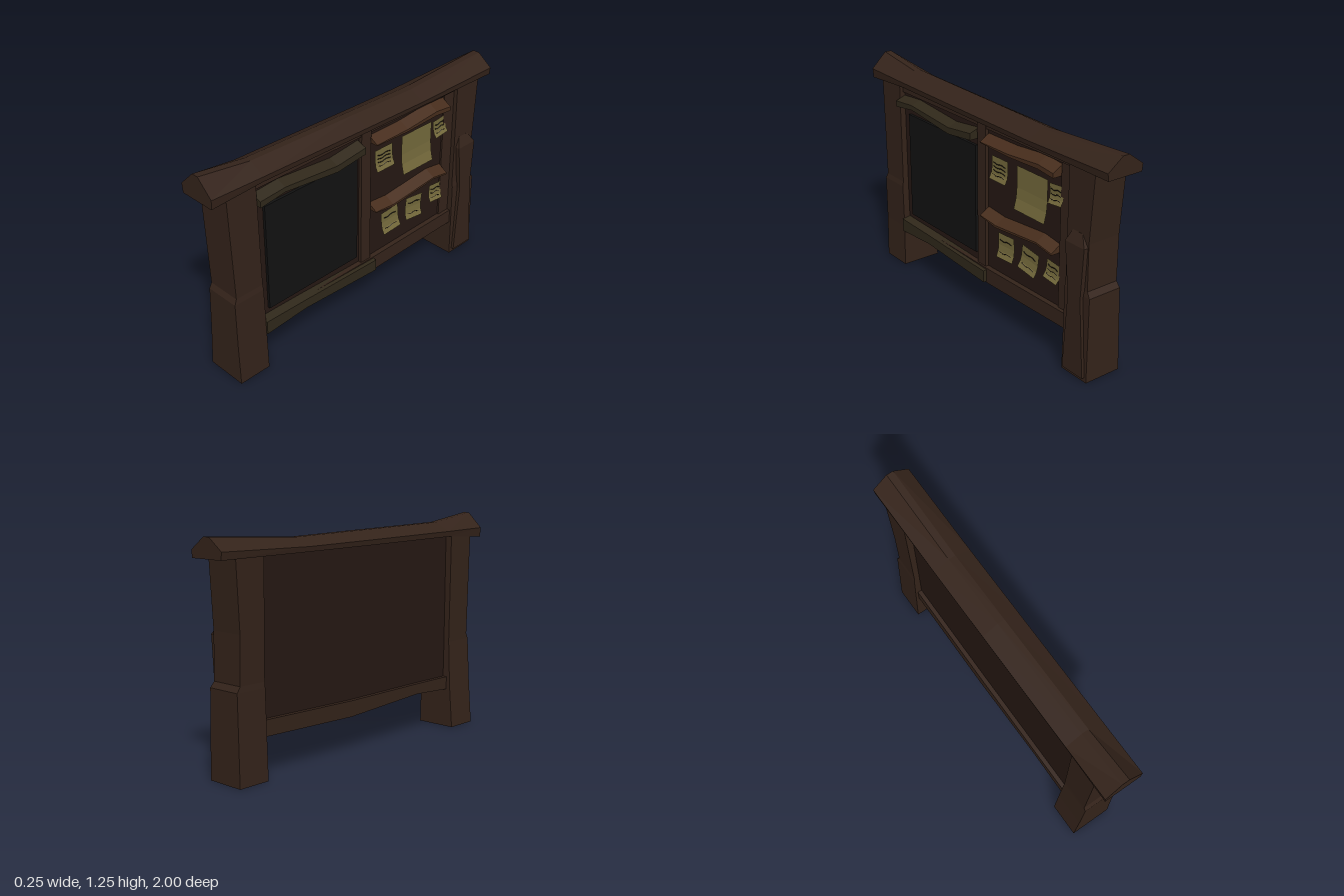
import * as THREE from 'three';

const mat = (color) => new THREE.MeshStandardMaterial({ color, flatShading: true, side: THREE.DoubleSide, roughness: 0.9 });
const WOOD = mat(0x34231a), DARK = mat(0x261813), TRIM = mat(0x472d1c), MOSS = mat(0x30281a);
const SLATE = mat(0x121212), PAPER = mat(0x756a3c), INK = mat(0x1a140c);

// Closed solid through equal-sized convex cross-sections, capped at both ends
function loft(sections) {
  const n = sections[0].length, tris = [];
  for (let s = 0; s < sections.length - 1; s++) {
    for (let i = 0; i < n; i++) {
      const j = (i + 1) % n, a = sections[s], b = sections[s + 1];
      tris.push([a[i], a[j], b[j]], [a[i], b[j], b[i]]);
    }
  }
  const first = sections[0], last = sections[sections.length - 1];
  for (let i = 1; i < n - 1; i++) {
    tris.push([first[0], first[i + 1], first[i]], [last[0], last[i], last[i + 1]]);
  }
  // Turn all faces outward if the sections ran the other way
  const v = (p) => new THREE.Vector3(...p);
  const volume = tris.reduce((sum, [a, b, c]) => sum + v(a).dot(v(b).cross(v(c))), 0);
  if (volume < 0) tris.forEach((t) => t.reverse());
  const g = new THREE.BufferGeometry();
  g.setAttribute('position', new THREE.Float32BufferAttribute(tris.flat(2), 3));
  g.computeVertexNormals();
  return g;
}

export function createModel() {
  const model = new THREE.Group();
  const add = (name, geometry, material, parent = model) => {
    const m = new THREE.Mesh(geometry, material);
    m.name = name;
    parent.add(m);
    return m;
  };
  const box = (name, x0, x1, y0, y1, z0, z1, material) => {
    const m = add(name, new THREE.BoxGeometry(x1 - x0, y1 - y0, Math.abs(z1 - z0)), material);
    m.position.set((x0 + x1) / 2, (y0 + y1) / 2, (z0 + z1) / 2);
  };

  // Upright solid from rows of [y, x0, x1, z0, z1]
  const upright = (name, rows, material) => add(name, loft(rows.map(([y, x0, x1, z0, z1]) =>
    [[x0, y, z0], [x1, y, z0], [x1, y, z1], [x0, y, z1]])), material);

  // Uneven beam from stations of [z, bottom, top], with a sloping upper front edge
  const beam = (name, x0, x1, slope, stations, material) => add(name, loft(stations.map(([z, b, t]) =>
    [[x0, b, z], [x1, b, z], [x1, t - slope, z], [x0, t, z]])), material);

  // Posts
  upright('leftPost', [
    [0, -0.13, 0.11, 0.72, 0.91],
    [0.25, -0.11, 0.105, 0.72, 0.91],
    [0.51, -0.095, 0.105, 0.725, 0.91],
    [0.54, -0.095, 0.1, 0.725, 0.895],
    [1.15, -0.1, 0.098, 0.73, 0.91],
  ], WOOD);
  upright('rightPost', [
    [0, -0.11, 0.11, -0.915, -0.73],
    [0.47, -0.095, 0.105, -0.91, -0.73],
    [0.5, -0.092, 0.1, -0.888, -0.73],
    [0.75, -0.095, 0.1, -0.885, -0.73],
    [1.15, -0.1, 0.098, -0.91, -0.73],
  ], WOOD);
  // Split slab on the front of the right post
  upright('postSlab', [
    [0.025, 0.09, 0.125, -0.9, -0.75],
    [0.45, 0.09, 0.125, -0.865, -0.775],
    [0.73, 0.09, 0.125, -0.88, -0.745],
    [0.79, 0.08, 0.1, -0.84, -0.77],
  ], WOOD);

  // Ridge beam with a pitched top
  add('roofBeam', loft([
    [1, 1.115, 1.255], [0.69, 1.13, 1.21], [0, 1.12, 1.195],
    [-0.43, 1.115, 1.185], [-1, 1.11, 1.215],
  ].map(([z, b, t]) => {
    const eave = b + (t - b) * 0.38;
    return [[-0.105, b, z], [0.105, b, z], [0.11, eave, z], [0.02, t, z], [-0.02, t, z], [-0.11, eave, z]];
  })), WOOD);

  // Board and its frame
  box('backPanel', -0.06, 0.065, 0.26, 1.14, -0.74, 0.73, DARK);
  box('topRail', 0.05, 0.08, 1.09, 1.14, -0.735, 0.725, WOOD);
  box('centreDivider', 0.05, 0.085, 0.28, 1.13, -0.06, 0.01, WOOD);
  box('rightStile', 0.05, 0.075, 0.28, 1.13, -0.735, -0.65, WOOD);
  box('slate', 0.06, 0.08, 0.345, 0.97, 0.035, 0.67, SLATE);
  beam('bottomBeam', -0.085, 0.095, 0, [
    [0.725, 0.225, 0.3], [0.45, 0.24, 0.3], [-0.1, 0.207, 0.295], [-0.735, 0.22, 0.305],
  ], WOOD);
  beam('lowerTrim', 0.05, 0.115, 0.012, [
    [0.722, 0.225, 0.315], [0.45, 0.243, 0.31], [-0.08, 0.215, 0.295],
  ], MOSS);

  // Wavy ledges
  beam('slateLedge', 0.055, 0.125, 0.025, [
    [0.73, 1.01, 1.07], [0.57, 1.03, 1.082], [0.22, 0.99, 1.052], [0.02, 1.012, 1.075],
  ], MOSS);
  beam('upperLedge', 0.055, 0.125, 0.04, [
    [-0.065, 1.025, 1.07], [-0.3, 1.018, 1.072], [-0.53, 1.027, 1.092], [-0.645, 1.015, 1.08],
  ], TRIM);
  beam('middleLedge', 0.055, 0.125, 0.04, [
    [-0.065, 0.61, 0.655], [-0.2, 0.59, 0.643], [-0.53, 0.622, 0.672], [-0.645, 0.605, 0.655],
  ], TRIM);

  // Pinned notes: z, y, width, height, tilt, written lines
  [
    [-0.17, 0.895, 0.135, 0.125, 0, 4],
    [-0.43, 0.847, 0.24, 0.235, 0, 0],
    [-0.617, 0.91, 0.1, 0.1, 0.1, 3],
    [-0.228, 0.472, 0.135, 0.135, 0.06, 2],
    [-0.42, 0.47, 0.135, 0.13, -0.13, 2],
    [-0.605, 0.487, 0.105, 0.1, -0.1, 3],
  ].forEach(([z, y, w, h, tilt, lines]) => {
    const note = new THREE.Group();
    note.name = 'note';
    note.position.set(0.074, y, z);
    note.rotation.set(tilt, Math.PI / 2, 0, 'YXZ');
    note.rotation.set(0, Math.PI / 2, tilt, 'YXZ');
    // Lower edge curls away from the board
    const curl = (py) => 0.02 * Math.max(0, -py / h) ** 2 * 4;
    const sheet = new THREE.PlaneGeometry(w, h, 1, 4);
    const p = sheet.attributes.position;
    for (let i = 0; i < p.count; i++) p.setZ(i, curl(p.getY(i)));
    sheet.computeVertexNormals();
    add('paper', sheet, PAPER, note);
    for (let i = 0; i < lines; i++) {
      const ly = h * (0.22 - 0.5 * (i / Math.max(1, lines - 1)));
      const stroke = new THREE.CatmullRomCurve3([-0.36, -0.15, 0.1, 0.34].map((f, k) =>
        new THREE.Vector3(f * w, ly + (k % 2 ? -0.004 : 0.002), curl(ly) + 0.003)));
      add('inkLine', new THREE.TubeGeometry(stroke, 8, 0.0025, 4), INK, note);
    }
    model.add(note);
  });

  return model;
}
